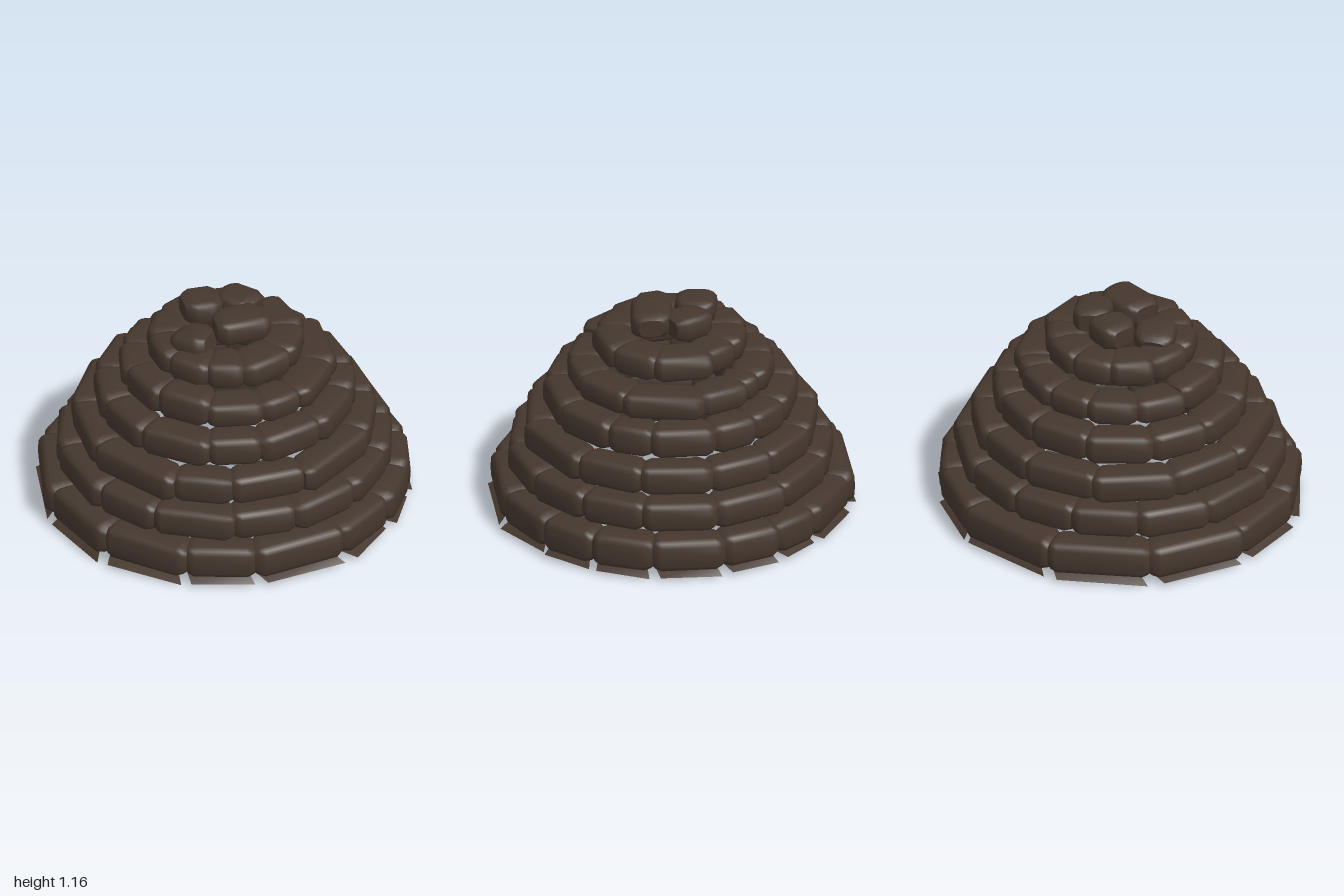
import * as THREE from 'three';

const DEG = Math.PI / 180;

// Each course: bottom, top, distance to the outer face, stone depth, joint angles (0 = front, 90 = left)
const COURSES = [
  { y0: 0.035, y1: 0.225, r: 0.935, depth: 0.2, joints: [2.5, 34, 57, 76, 96, 119, 139, 156, 182, 217, 250, 282, 310, 339] },
  { y0: 0.225, y1: 0.395, r: 0.85, depth: 0.2, joints: [-5, 19, 45, 69, 92, 118, 146, 174, 199, 223, 247, 273, 302, 326] },
  { y0: 0.395, y1: 0.56, r: 0.765, depth: 0.19, joints: [-5, 26, 63, 90, 118, 145, 172, 200, 230, 262, 293, 331] },
  { y0: 0.56, y1: 0.73, r: 0.66, depth: 0.2, joints: [-16, 10, 42, 72, 93, 122, 145, 167, 195, 225, 255, 283, 311] },
  { y0: 0.725, y1: 0.865, r: 0.54, depth: 0.21, joints: [-18, 15, 41, 76, 119, 150, 165, 195, 222, 250, 280, 311], taller: { 10: 0.03, 11: 0.04 } },
  { y0: 0.87, y1: 1.02, r: 0.395, depth: 0.23, joints: [-23, 9, 52, 90, 135, 165, 200, 233, 268, 303] },
];

// Loose stones closing the top: centre, facing, width, depth, sideways tilt
const CAPS = [
  { at: [0.07, 1.09, 0.09], face: 12, width: 0.31, depth: 0.22, tilt: 0 },
  { at: [0.09, 1.085, -0.11], face: 140, width: 0.24, depth: 0.2, tilt: 0 },
  { at: [-0.11, 1.085, -0.11], face: 186, width: 0.22, depth: 0.22, tilt: 0 },
  { at: [-0.18, 1.015, 0.11], face: -38, width: 0.22, depth: 0.22, tilt: 0.2 },
];

function seeded(seed) {
  return () => {
    seed = (seed * 16807) % 2147483647;
    return seed / 2147483647;
  };
}

// Pillow-shaped stone centred on its own origin: rounded sections swept along x,
// shrinking to the ends; z points outwards, and the inner side may be narrower.
function stoneGeometry(outerWidth, innerWidth, height, depth) {
  const ends = [[0, 0.58], [0.022, 0.82], [0.055, 1]]; // inset from the joint, section scale
  const stations = [
    ...ends.map((e) => [-1, ...e]),
    ...ends.slice().reverse().map((e) => [1, ...e]),
  ];
  const N = 16;
  const pos = [], index = [];
  const power = (v) => Math.sign(v) * Math.abs(v) ** 0.55;
  const ring = ([side, inset, scale]) => {
    for (let i = 0; i < N; i++) {
      const a = (i / N) * Math.PI * 2;
      const u = power(Math.cos(a)) * scale;
      const y = power(Math.sin(a)) * height / 2 * (0.25 + 0.75 * scale);
      const halfWidth = THREE.MathUtils.lerp(innerWidth, outerWidth, (u + 1) / 2) / 2;
      pos.push(side * Math.max(0.008, halfWidth - inset), y, u * depth / 2);
    }
  };
  stations.forEach(ring);
  for (let s = 0; s < stations.length - 1; s++) {
    for (let i = 0; i < N; i++) {
      const a = s * N + i, b = s * N + ((i + 1) % N);
      index.push(a, a + N, b, b, a + N, b + N);
    }
  }
  // Flat end caps on their own vertices
  for (const station of [stations[0], stations[stations.length - 1]]) {
    const o = pos.length / 3;
    ring(station);
    for (let i = 1; i < N - 1; i++) {
      if (station[0] < 0) index.push(o, o + i, o + i + 1);
      else index.push(o, o + i + 1, o + i);
    }
  }
  const g = new THREE.BufferGeometry();
  g.setAttribute('position', new THREE.Float32BufferAttribute(pos, 3));
  g.setIndex(index);
  g.computeVertexNormals();
  return g;
}

// Thin ragged shard under a bottom stone, tapering to a point at one end
function shardGeometry(length, drop, spread) {
  const l = length / 2;
  const g = new THREE.BufferGeometry();
  g.setAttribute('position', new THREE.Float32BufferAttribute([
    -l, 0.055, -spread, l * 0.8, 0.06, -spread * 0.5, l, 0.055 - drop, 0.01, -l * 0.85, 0.05 - drop * 0.5, 0.035,
  ], 3));
  g.setIndex([0, 3, 1, 1, 3, 2]);
  g.computeVertexNormals();
  return g;
}

export function createModel() {
  const model = new THREE.Group();
  model.name = 'stoneHut';
  const stone = new THREE.MeshStandardMaterial({ color: 0x45372e, side: THREE.DoubleSide });
  stone.name = 'darkBrownStone';
  const rand = seeded(41);

  const sector = (joints, i) => {
    const end = i + 1 < joints.length ? joints[i + 1] : joints[0] + 360;
    return { angle: ((joints[i] + end) / 2) * DEG, half: ((end - joints[i]) / 2) * DEG };
  };

  // Stacked rings of stones, slightly wider from side to side
  COURSES.forEach(({ y0, y1, r, depth, joints, taller = {} }, row) => {
    const course = new THREE.Group();
    course.name = `course${row + 1}`;
    joints.forEach((_, i) => {
      const { angle, half } = sector(joints, i);
      const out = r * (1 + 0.035 * Math.sin(angle) ** 2) + (rand() - 0.5) * 0.012;
      const height = y1 - y0 + (taller[i] || 0);
      const outerWidth = 2 * out * Math.tan(half) + 0.006;
      const innerWidth = 2 * (out - depth * 0.6) * Math.tan(half) + 0.02;
      const mesh = new THREE.Mesh(stoneGeometry(outerWidth, innerWidth, height, depth), stone);
      mesh.name = 'stone';
      const mid = out - depth / 2;
      mesh.position.set(Math.sin(angle) * mid, y0 + height / 2, Math.cos(angle) * mid);
      mesh.rotation.y = angle;
      course.add(mesh);
    });
    model.add(course);
  });

  // Cap of loose stones
  const cap = new THREE.Group();
  cap.name = 'cap';
  CAPS.forEach(({ at, face, width, depth, tilt }) => {
    const mesh = new THREE.Mesh(stoneGeometry(width, width * 0.85, 0.14, depth), stone);
    mesh.name = 'capStone';
    mesh.position.set(...at);
    mesh.rotation.set(0, face * DEG, tilt, 'YXZ');
    cap.add(mesh);
  });
  model.add(cap);

  // Broken shards around the foot of the wall
  const shards = new THREE.Group();
  shards.name = 'footShards';
  COURSES[0].joints.forEach((_, i, joints) => {
    const { angle, half } = sector(joints, i);
    const mesh = new THREE.Mesh(
      shardGeometry(1.75 * Math.tan(half), 0.04 + rand() * 0.015, 0.05 + rand() * 0.05), stone);
    mesh.name = 'shard';
    const d = 0.915 + 0.03 * Math.sin(angle) ** 2;
    mesh.position.set(Math.sin(angle) * d, 0, Math.cos(angle) * d);
    mesh.rotation.y = angle + (rand() - 0.3) * 0.15;
    shards.add(mesh);
  });
  model.add(shards);
  return model;
}
